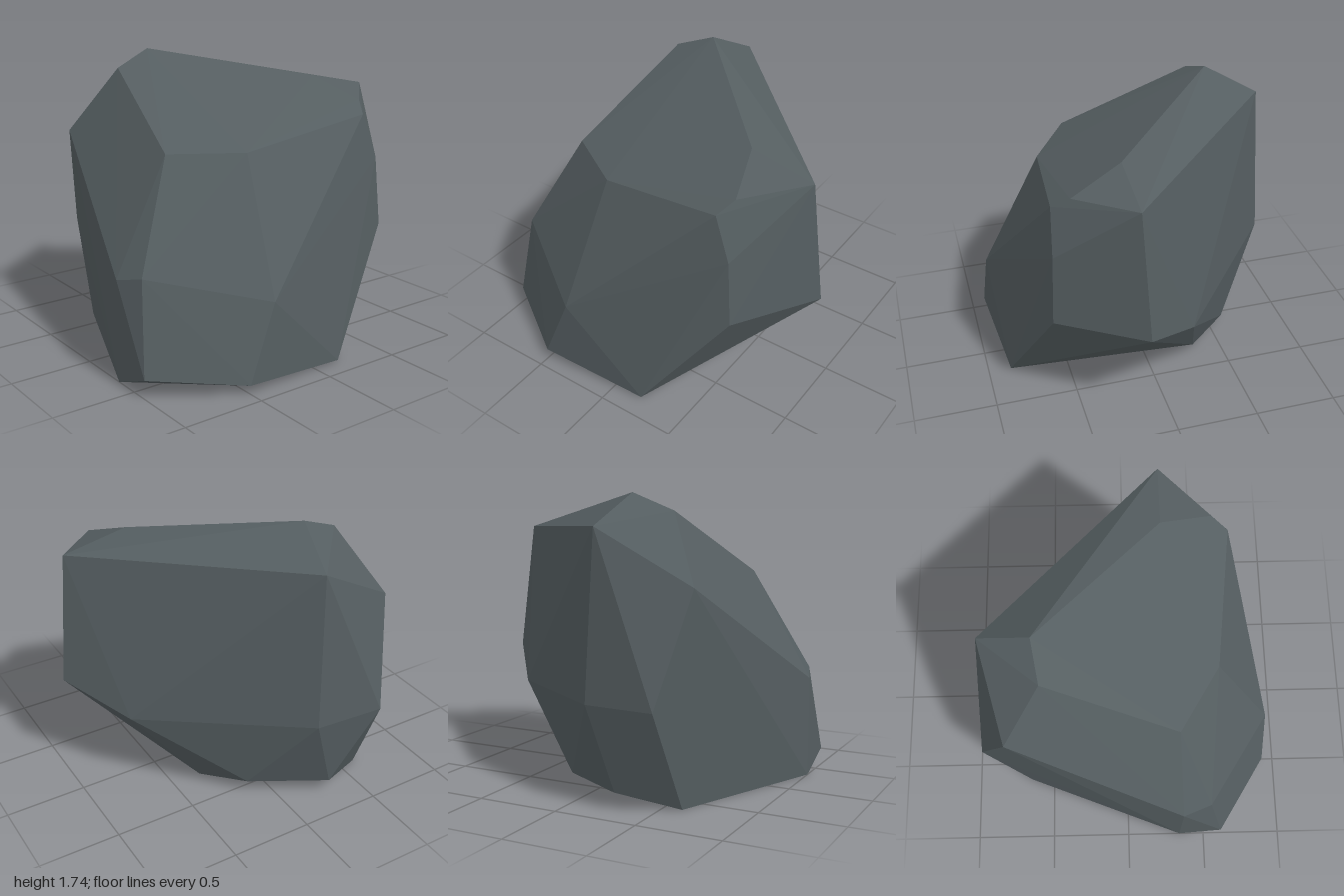
import * as THREE from 'three';
import { ConvexGeometry } from 'three/addons/geometries/ConvexGeometry.js';

// Corners of the boulder, grouped by region
const crown = [
  [-0.23, 1.74, -0.52], [-0.47, 1.64, -0.48], [-0.16, 1.56, -0.84],
  [0.52, 1.59, 0.21], [0.92, 1.51, 0.21], [0.62, 1.47, 0.52], [0.56, 1.40, 0.62],
];
const frontFace = [
  [-0.64, 1.26, 0.30], [-0.25, 1.26, 0.54], [0.31, 1.31, 0.57],
  [0.66, 1.13, 0.64], [0.69, 0.71, 0.66], [-0.33, 0.50, 0.90], [-0.94, 0.65, 0.51],
];
const sidesAndBack = [
  [1.00, 0.71, 0.17], [0.73, 0.53, -0.17], [0.12, 0.80, -0.60],
  [-0.13, 0.59, -0.89], [-0.56, 0.59, -0.92], [-0.70, 1.24, -0.71], [-1.00, 0.61, 0.34],
];
const base = [
  [0.19, 0, 0.86], [-0.51, 0.06, 0.92], [-1.00, 0.11, 0.61], [-1.00, 0, 0.34],
  [-0.61, 0, -0.65], [-0.28, 0.10, -0.83], [0.15, 0.09, -0.57], [0.34, 0.05, -0.31],
];

export function createModel() {
  const stone = new THREE.MeshStandardMaterial({ color: 0x555e61 });
  stone.name = 'darkStone';
  stone.flatShading = true;

  // One faceted boulder wrapped around the corners
  const points = [...crown, ...frontFace, ...sidesAndBack, ...base]
    .map((p) => new THREE.Vector3(...p));
  const boulder = new THREE.Mesh(new ConvexGeometry(points), stone);
  boulder.name = 'boulder';

  const group = new THREE.Group();
  group.name = 'rock';
  group.add(boulder);
  return group;
}
